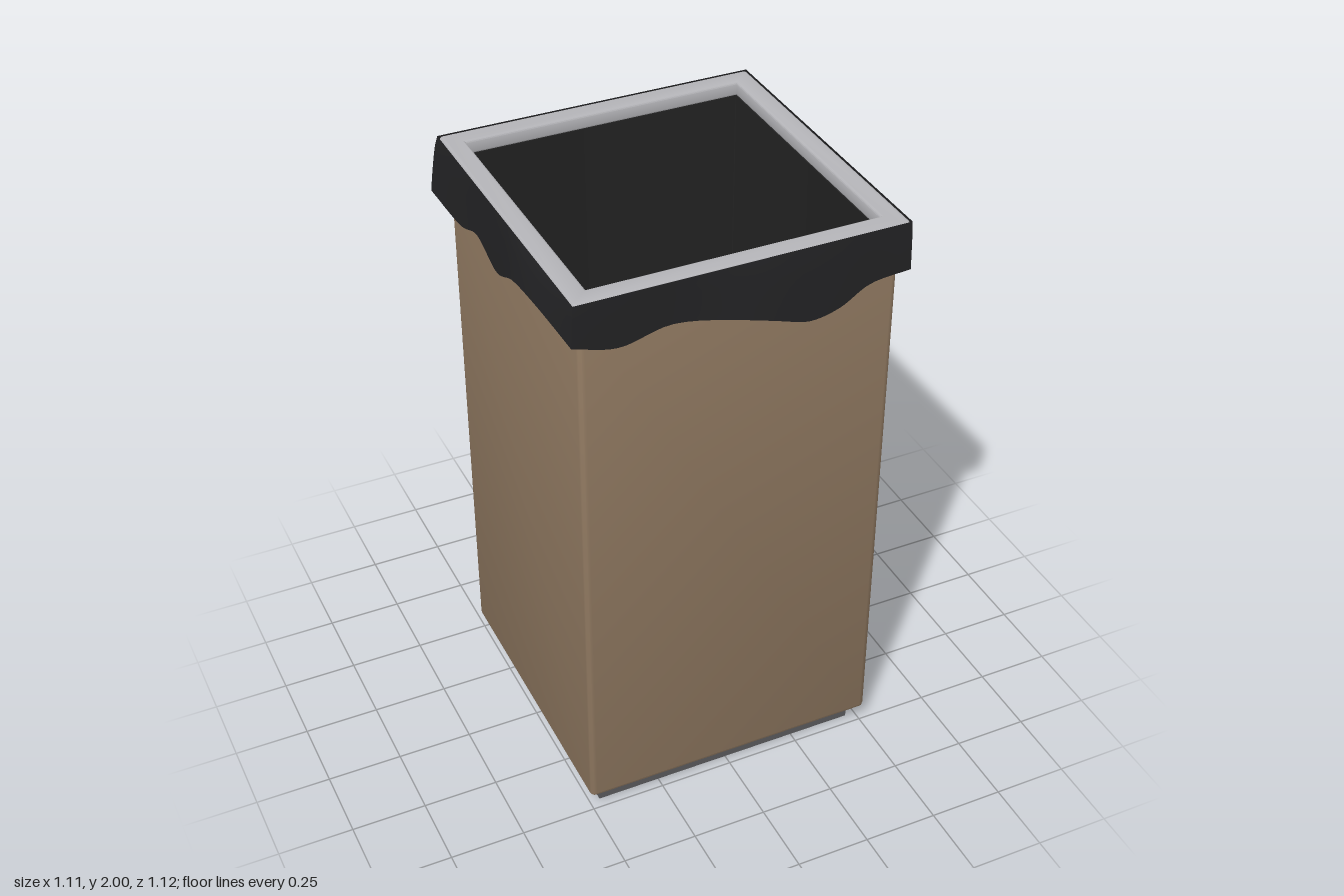
import * as THREE from 'three';
import { toCreasedNormals } from 'three/addons/utils/BufferGeometryUtils.js';

const paint = (name, color) => {
  const m = new THREE.MeshStandardMaterial({ color });
  m.name = name;
  return m;
};

// Square path with small rounded corners
function square(path, h, r) {
  path.moveTo(-h + r, -h);
  [[1, -1], [1, 1], [-1, 1], [-1, -1]].forEach(([x, y], i) => {
    const along = i % 2 === 0;
    path.lineTo(x * (along ? h - r : h), y * (along ? h : h - r));
    const out = along ? [x * h, y * (h - r)] : [x * (h - r), y * h];
    path.quadraticCurveTo(x * h, y * h, out[0], out[1]);
  });
  return path;
}

// Square tube standing between two heights, with softened edges
function frame(outer, inner, y0, y1, bevel) {
  const shape = square(new THREE.Shape(), outer - bevel, 0.006);
  shape.holes.push(square(new THREE.Path(), inner + bevel, 0.002));
  const geo = new THREE.ExtrudeGeometry(shape, {
    depth: y1 - y0 - 2 * bevel, bevelEnabled: bevel > 0, bevelSize: bevel,
    bevelThickness: bevel, bevelSegments: 3, curveSegments: 3,
  });
  geo.rotateX(-Math.PI / 2).translate(0, y0 + bevel, 0);
  return toCreasedNormals(geo, 0.7);
}

// One side of the draped skirt: from the rim edge down to a wavy hem
function drape(hem) {
  const curve = new THREE.CatmullRomCurve3(hem.map(p => new THREE.Vector3(...p)));
  const cols = 48, rows = 6, pos = [], index = [];
  const edge = v => THREE.MathUtils.clamp(v, -0.533, 0.533);
  for (let i = 0; i <= cols; i++) {
    const low = curve.getPoint(i / cols);
    const top = new THREE.Vector3(edge(low.x), 2, edge(low.z));
    for (let j = 0; j <= rows; j++) {
      const t = j / rows, p = top.clone().lerp(low, t);
      const out = Math.pow(t, 0.7);
      pos.push(top.x + (low.x - top.x) * out, p.y, top.z + (low.z - top.z) * out);
      if (i < cols && j < rows) {
        const a = i * (rows + 1) + j, b = a + rows + 1;
        index.push(a, a + 1, b, b, a + 1, b + 1);
      }
    }
  }
  const geo = new THREE.BufferGeometry();
  geo.setAttribute('position', new THREE.Float32BufferAttribute(pos, 3));
  geo.setIndex(index);
  geo.computeVertexNormals();
  return geo;
}

export function createModel() {
  const group = new THREE.Group();
  const brown = paint('brown panel', 0x8f7860);
  const black = paint('black liner', 0x222222);
  const grey = paint('light grey rim', 0xb4b4b8);
  const dark = paint('dark grey base', 0x5a5a5c);
  const film = paint('black bag film', 0x222224);
  film.side = THREE.DoubleSide;

  const add = (name, geo, mat, y = 0) => {
    const mesh = new THREE.Mesh(geo, mat);
    mesh.name = name;
    mesh.position.y = y;
    group.add(mesh);
  };

  add('base', new THREE.BoxGeometry(0.93, 0.08, 0.93), dark, 0.04);
  add('body', frame(0.51, 0.47, 0.065, 1.96, 0.014), brown);
  add('bodyFloor', new THREE.BoxGeometry(0.97, 0.02, 0.97), brown, 0.08);
  add('liner', frame(0.472, 0.462, 0.085, 1.955, 0), black);
  add('linerFloor', new THREE.BoxGeometry(0.94, 0.02, 0.94), black, 0.095);
  add('rim', frame(0.53, 0.465, 1.95, 2, 0.008), grey);

  // Hem points [x, y, z], running counter-clockwise seen from above
  const frontRight = [-0.545, 1.87, 0.543], frontLeft = [0.537, 1.84, 0.537];
  const backLeft = [0.55, 1.79, -0.552], backRight = [-0.557, 1.8, -0.56];
  const hems = {
    skirtFront: [frontRight, [-0.4, 1.83, 0.537], [-0.23, 1.86, 0.534], [0, 1.82, 0.553],
      [0.1, 1.79, 0.555], [0.2, 1.76, 0.551], [0.3, 1.775, 0.545], [0.4, 1.825, 0.538], frontLeft],
    skirtLeft: [frontLeft, [0.542, 1.855, 0.35], [0.553, 1.84, 0.2], [0.553, 1.895, 0],
      [0.538, 1.82, -0.2], [0.537, 1.795, -0.33], [0.544, 1.775, -0.46], backLeft],
    skirtBack: [backLeft, [0.39, 1.815, -0.558], [0.2, 1.795, -0.555], [-0.01, 1.83, -0.541],
      [-0.25, 1.89, -0.546], [-0.41, 1.83, -0.556], backRight],
    skirtRight: [backRight, [-0.545, 1.795, -0.32], [-0.538, 1.825, -0.21], [-0.542, 1.79, -0.04],
      [-0.555, 1.86, 0.13], [-0.559, 1.885, 0.3], [-0.552, 1.88, 0.45], frontRight],
  };
  for (const [name, hem] of Object.entries(hems)) add(name, drape(hem), film);

  return group;
}
